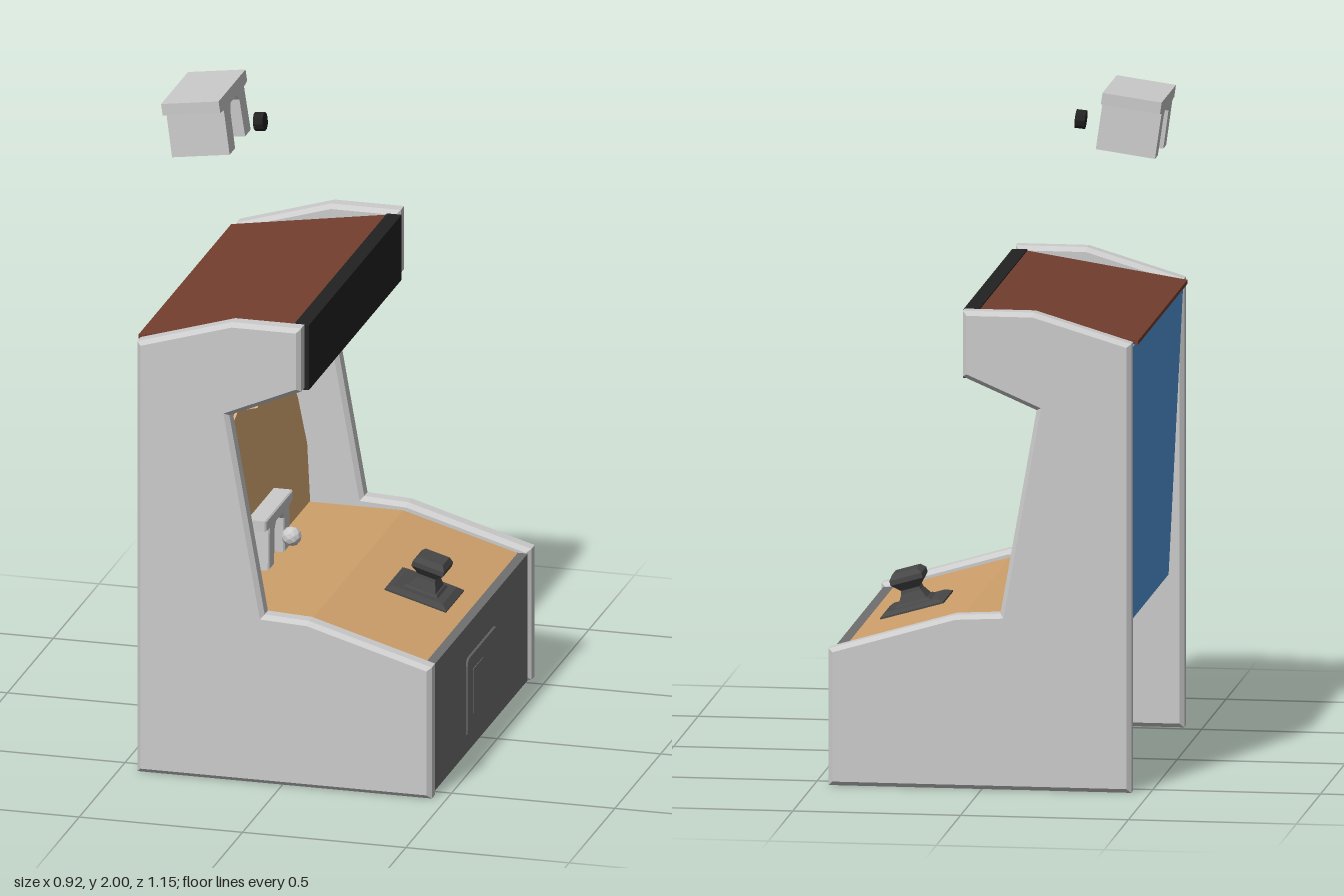
import * as THREE from 'three';

const paint = (color) => new THREE.MeshStandardMaterial({ color, flatShading: true, side: THREE.DoubleSide });
const toShape = (pts) => new THREE.Shape(pts.map(([a, b]) => new THREE.Vector2(a, b)));

// Extrude a (z, y) outline along x; the front face ends up at x = 0
function slabAlongX(shape, depth, bevel = 0) {
  const g = new THREE.ExtrudeGeometry(shape, {
    depth: depth - 2 * bevel, bevelEnabled: bevel > 0, bevelSize: bevel,
    bevelThickness: bevel, bevelOffset: -bevel, bevelSegments: 1, curveSegments: 3,
  });
  g.rotateY(-Math.PI / 2);
  return g.translate(-bevel, 0, 0);
}

function roundedRect(z0, z1, y0, y1, r) {
  const s = new THREE.Shape();
  s.moveTo(z0 + r, y0);
  s.lineTo(z1 - r, y0); s.quadraticCurveTo(z1, y0, z1, y0 + r);
  s.lineTo(z1, y1 - r); s.quadraticCurveTo(z1, y1, z1 - r, y1);
  s.lineTo(z0 + r, y1); s.quadraticCurveTo(z0, y1, z0, y1 - r);
  s.lineTo(z0, y0 + r); s.quadraticCurveTo(z0, y0, z0 + r, y0);
  return s;
}

// Square turned part from [halfWidth, height] pairs
function squareTurned(profile) {
  const g = new THREE.LatheGeometry(profile.map(([w, y]) => new THREE.Vector2(w * Math.SQRT2, y)), 4);
  return g.rotateY(Math.PI / 4);
}

export function createModel() {
  const group = new THREE.Group();
  const grey = paint(0xcccccc), darkGrey = paint(0x707070), charcoal = paint(0x484848);
  const black = paint(0x222222), brown = paint(0x733f2e), blue = paint(0x559ae0);
  const sand = paint(0xe0b07a), deckTan = paint(0xcfa06b);

  function add(name, geometry, material, x = 0, y = 0, z = 0, parent = group) {
    const mesh = new THREE.Mesh(geometry, material);
    mesh.name = name;
    mesh.position.set(x, y, z);
    parent.add(mesh);
    return mesh;
  }

  // Bevelled cabinet sides
  const bevel = 0.013;
  const sideGeo = new THREE.ExtrudeGeometry(toShape([
    [-0.445, 0], [0.457, 0], [0.457, 0.41], [0.08, 0.52], [-0.055, 0.527],
    [-0.163, 1.14], [0.057, 1.235], [0.057, 1.432], [-0.155, 1.432], [-0.445, 1.345],
  ]), { depth: 0.062 - 2 * bevel, bevelSize: bevel, bevelThickness: bevel, bevelOffset: -bevel, bevelSegments: 1 });
  sideGeo.translate(0, 0, -(0.062 - 2 * bevel) / 2);
  add('leftSidePanel', sideGeo, grey, 0, 0, -0.544);
  add('rightSidePanel', sideGeo, grey, 0, 0, 0.544);

  // Marquee and sloping roof
  add('marquee', new THREE.BoxGeometry(0.045, 0.203, 1.015), black, 0.0425, 1.3225, 0);
  const roofShape = toShape([[0.02, 1.42], [-0.457, 1.345], [-0.457, 1.333], [0.02, 1.408]]);
  const acrossZ = (shape) => new THREE.ExtrudeGeometry(shape, { depth: 1.015, bevelEnabled: false }).translate(0, 0, -0.5075);
  add('roof', acrossZ(roofShape), brown);

  // Control deck, flat at the back and sloping down to the front
  add('deck', acrossZ(toShape([
    [-0.39, 0.5], [0.07, 0.5], [0.42, 0.4], [0.42, 0.388], [0.07, 0.488], [-0.39, 0.488],
  ])), deckTan);

  // Front panel with coin door
  add('frontPanel', new THREE.BoxGeometry(0.04, 0.396, 1.02), darkGrey, 0.43, 0.202, 0);
  add('coinDoor', slabAlongX(roundedRect(-0.16, 0.165, 0.05, 0.3, 0.025), 0.012, 0.004), darkGrey, 0.455);
  add('coinSlot', slabAlongX(toShape([[-0.005, 0.11], [0.105, 0.11], [0.105, 0.25], [-0.005, 0.25]]), 0.012), darkGrey, 0.457);

  // Tilted sky backdrop and two layers of hills
  const base = 0.46;
  function scenery(name, pts, x, material) {
    const local = pts.map(([z, y]) => [z, y - base]);
    add(name, slabAlongX(toShape(local), 0.008), material, x, base).rotation.z = 0.05;
  }
  scenery('sky', [[-0.513, base], [0.513, base], [0.513, 1.33], [-0.513, 1.33]], -0.392, blue);
  scenery('backHills', [
    [-0.2, base], [0.513, base], [0.513, 0.77], [0.42, 0.985], [0.285, 1.105], [0.18, 1.015],
    [0.14, 1.015], [0.02, 1.06], [-0.1, 1.0], [-0.2, 0.95],
  ], -0.29, sand);
  scenery('frontHills', [
    [-0.513, base], [0.475, base], [0.47, 0.5], [0.43, 0.73], [0.37, 0.87], [0.335, 0.965], [0.18, 1.017],
    [-0.02, 0.957], [-0.18, 1.06], [-0.36, 0.955], [-0.44, 0.85], [-0.513, 0.68],
  ], -0.215, sand);

  // Joystick standing on the sloped deck
  const stick = new THREE.Group();
  stick.name = 'joystick';
  stick.position.set(0.275, 0.439, 0);
  stick.rotation.z = -0.28;
  group.add(stick);
  add('joystickBase', squareTurned([[0, 0], [0.098, 0], [0.098, 0.007], [0.078, 0.017], [0.055, 0.017], [0.048, 0.024], [0, 0.024]]), charcoal, 0, 0, 0, stick);
  add('joystickKnob', squareTurned([[0.046, 0.02], [0.03, 0.05], [0.028, 0.06], [0.05, 0.085], [0.05, 0.1], [0.038, 0.115], [0, 0.115]]), charcoal, 0, 0, 0, stick);

  // Two-legged gate: overhanging slab on a pair of tapered legs
  const gateShape = (h) => toShape([
    [-0.115, 0], [-0.055, 0], [-0.05, h * 0.66], [-0.035, h * 0.77], [0.035, h * 0.77], [0.05, h * 0.66], [0.055, 0], [0.115, 0],
    [0.11, h * 0.77], [0.147, h * 0.8], [0.147, h], [-0.147, h], [-0.147, h * 0.8], [-0.11, h * 0.77],
  ]);
  add('deckGate', slabAlongX(gateShape(0.165), 0.075, 0.004), grey, -0.167, 0.5, 0);
  add('deckBall', new THREE.IcosahedronGeometry(0.03, 1), grey, -0.13, 0.573, 0);

  // Floating gate above the roof with its small dark shot
  const gate = add('floatingGate', slabAlongX(gateShape(0.177), 0.178), grey, -0.26, 1.826, 0.098);
  gate.rotation.z = 0.14;
  const shot = add('floatingShot', new THREE.CylinderGeometry(0.028, 0.028, 0.03, 10), black, -0.2, 1.895, 0.092);
  shot.rotation.z = Math.PI / 2 + 0.1;

  return group;
}
